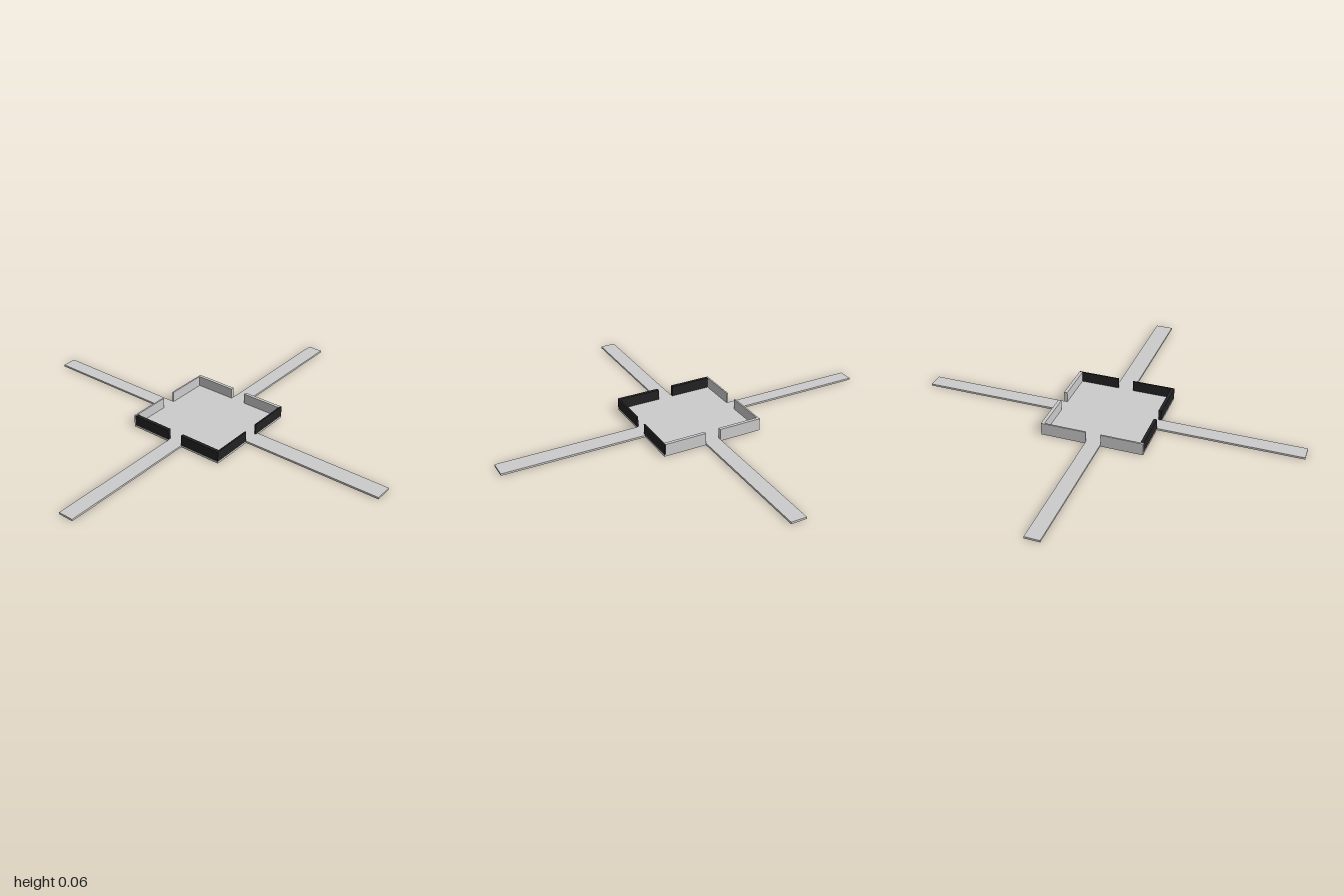
import * as THREE from 'three';

const grey = new THREE.MeshStandardMaterial({ color: 0xcccccc });
const black = new THREE.MeshStandardMaterial({ color: 0x222222 });

// Box given by its extents on each axis
function slab(name, [x0, x1], [y0, y1], [z0, z1], material = grey) {
  const mesh = new THREE.Mesh(new THREE.BoxGeometry(x1 - x0, y1 - y0, z1 - z0), material);
  mesh.position.set((x0 + x1) / 2, (y0 + y1) / 2, (z0 + z1) / 2);
  mesh.name = name;
  return mesh;
}

export function createModel() {
  const model = new THREE.Group();
  model.name = 'courtyardWithPaths';
  const floor = [0, 0.01];
  const wall = [0.01, 0.065];

  // Square floor
  model.add(slab('floor', [-0.265, 0.265], floor, [-0.267, 0.26]));

  // Four paths leading out from the floor
  model.add(
    slab('frontPath', [-0.04, 0.04], floor, [0.26, 0.995]),
    slab('backPath', [-0.04, 0.04], floor, [-1, -0.267]),
    slab('leftPath', [0.265, 1], floor, [-0.06, 0.033]),
    slab('rightPath', [-1, -0.265], floor, [-0.033, 0.043])
  );

  // Front and back walls, each split by a gateway
  for (const span of [[-0.257, -0.042], [0.038, 0.265]]) {
    model.add(slab('frontWall', span, wall, [0.243, 0.26], black));
  }
  for (const span of [[-0.265, -0.04], [0.04, 0.257]]) {
    model.add(slab('backWall', span, wall, [-0.267, -0.25]));
  }

  // Side walls, each split by a gateway
  for (const span of [[-0.267, -0.045], [0.035, 0.243]]) {
    model.add(slab('leftWall', [0.257, 0.265], wall, span, black));
  }
  for (const span of [[-0.25, -0.033], [0.043, 0.26]]) {
    model.add(slab('rightWall', [-0.265, -0.257], wall, span));
  }
  return model;
}
